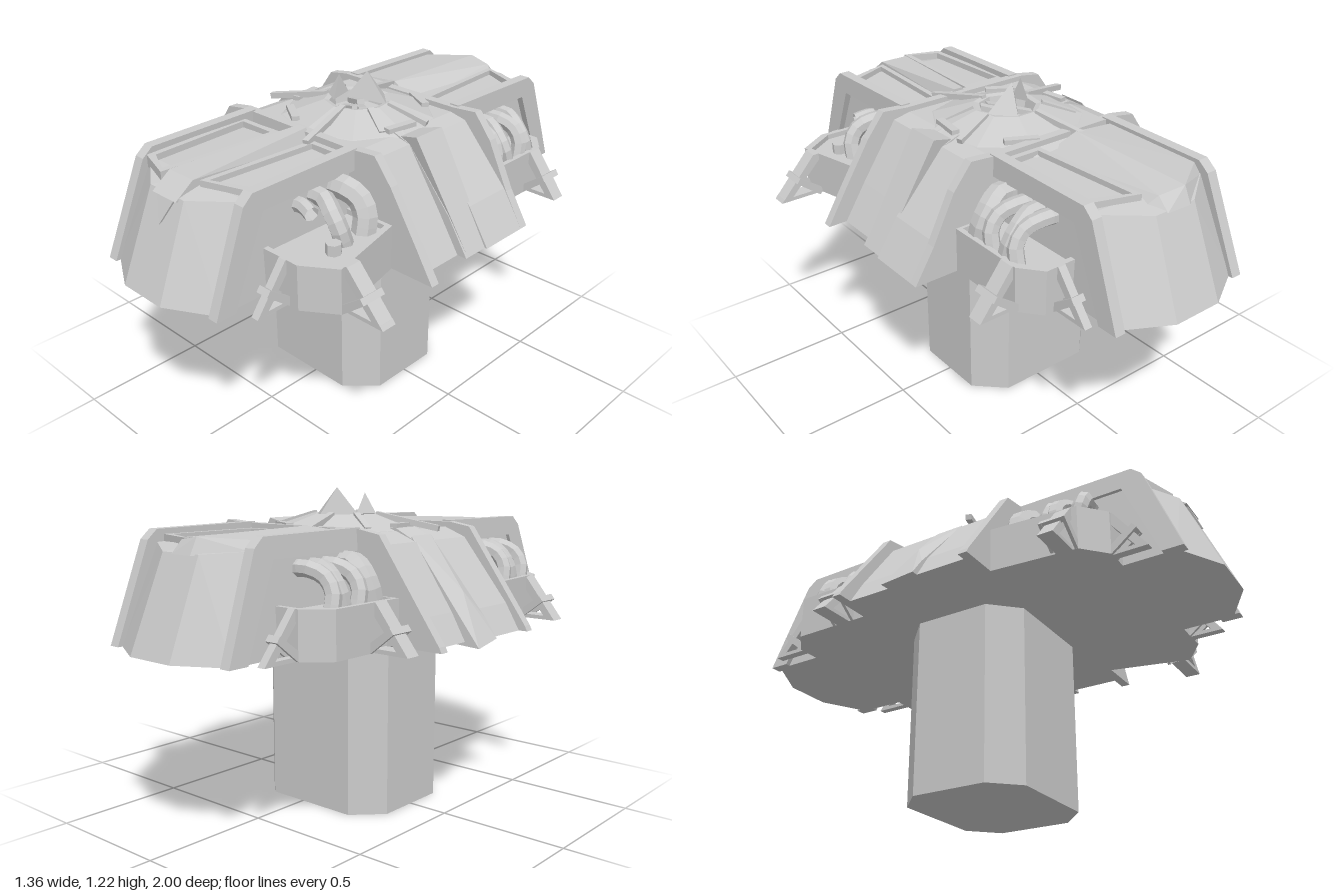
import * as THREE from 'three';
import { ConvexGeometry } from 'three/addons/geometries/ConvexGeometry.js';

const mat = new THREE.MeshStandardMaterial({ color: 0xcccccc, flatShading: true, side: THREE.DoubleSide });
const BASE = 0.69;

function add(parent, name, geo) {
  const mesh = new THREE.Mesh(geo, mat);
  mesh.name = name;
  parent.add(mesh);
}
const outline = (pts) => new THREE.Shape(pts.map(([a, b]) => new THREE.Vector2(a, b)));
const convex = (pts) => new ConvexGeometry(pts.map((p) => new THREE.Vector3(...p)));

// Profile in x/y, extruded from z0 to z1
function slab(pts, z0, z1) {
  return new THREE.ExtrudeGeometry(outline(pts), { depth: z1 - z0, bevelEnabled: false }).translate(0, 0, z0);
}
// Plan outline in x/z, extruded from y0 to y1, with an optional opening
function plate(pts, y0, y1, hole) {
  const flip = (l) => l.map(([x, z]) => [x, -z]);
  const s = outline(flip(pts));
  if (hole) s.holes.push(outline(flip(hole)));
  return new THREE.ExtrudeGeometry(s, { depth: y1 - y0, bevelEnabled: false }).rotateX(-Math.PI / 2).translate(0, y0, 0);
}
// Shrink a plan outline towards its middle
function inset(pts, d) {
  const n = pts.length;
  const cx = pts.reduce((s, p) => s + p[0], 0) / n, cz = pts.reduce((s, p) => s + p[1], 0) / n;
  const pull = (v, c) => v - Math.sign(v - c) * Math.min(d, Math.abs(v - c));
  return pts.map(([x, z]) => [pull(x, cx), pull(z, cz)]);
}
// Beam between two points
function beam(a, b, w, h) {
  const A = new THREE.Vector3(...a), B = new THREE.Vector3(...b);
  const m = new THREE.Matrix4().lookAt(B, A, new THREE.Vector3(0, 1, 0));
  m.setPosition(A.clone().add(B).multiplyScalar(0.5));
  return new THREE.BoxGeometry(w, h, A.distanceTo(B)).applyMatrix4(m);
}

// Chamfered support column
function addColumn(g) {
  add(g, 'column', plate([[-0.34, -0.15], [-0.235, -0.255], [0.155, -0.255], [0.265, -0.15],
    [0.265, 0.15], [0.155, 0.255], [-0.235, 0.255], [-0.34, 0.15]], 0, BASE + 0.02));
}

// Long hull with sloped, chamfered ends, edge frames and roof panels
function addLongHull(g) {
  const pts = [];
  for (const s of [-1, 1]) {
    pts.push([-0.14, BASE, s], [0.06, BASE, s], [-0.32, BASE, s * 0.9], [0.245, BASE, s * 0.9],
      [-0.13, 1.025, s * 0.86], [0.05, 1.025, s * 0.86], [-0.3, 1.04, s * 0.74], [0.235, 1.04, s * 0.74],
      [-0.04, 1.05, s * 0.76]);
  }
  add(g, 'longHull', convex(pts));

  const arch = [[0.28, 1.09], [0.75, 1.085], [0.79, 1.05], [0.93, BASE], [0.85, BASE], [0.71, 1.01], [0.28, 1.01]];
  for (const end of [-1, 1]) {
    for (const [x, lean] of [[-0.34, 0.03], [0.225, -0.005]]) {
      const geo = slab(arch.map(([z, y]) => [z * end, y]), -0.042, 0).rotateY(-Math.PI / 2);
      const p = geo.attributes.position;
      for (let i = 0; i < p.count; i++) p.setX(i, p.getX(i) + x + lean * (p.getY(i) - BASE) / 0.4);
      add(g, 'edgeFrame', geo);
    }
    // Raised borders around recessed roof panels
    const panels = [[[0.06, end * 0.3], [0.22, end * 0.3], [0.22, end * 0.72], [0.035, end * 0.78]]];
    if (end > 0) panels.push([[-0.28, 0.33], [-0.085, 0.33], [-0.11, 0.83], [-0.26, 0.78]]);
    for (const panel of panels) add(g, 'roofPanelFrame', plate(panel, 1.02, 1.066, inset(panel, 0.022)));
  }
  // Front spine with blunt nose and pointed plate below it
  add(g, 'spine', convex([[-0.06, 1.04, 0.28], [0.03, 1.04, 0.28], [-0.03, 1.095, 0.28], [0.01, 1.095, 0.28],
    [-0.1, 1.015, 0.875], [0.025, 1.015, 0.875], [-0.1, 1.07, 0.8], [0.025, 1.07, 0.8], [-0.1, 1.0, 0.8], [0.025, 1.0, 0.8]]));
  add(g, 'nosePlate', convex([[-0.08, 1.015, 0.872], [0.01, 1.015, 0.872], [-0.035, 0.925, 0.908],
    [-0.08, 1.0, 0.83], [0.01, 1.0, 0.83]]));
  // Rear roof slab
  add(g, 'rearRoof', convex([[-0.3, 1.03, -0.3], [0.03, 1.03, -0.3], [-0.29, 1.03, -0.75], [-0.1, 1.02, -0.87],
    [0.0, 1.02, -0.865], [0.04, 1.03, -0.8], [-0.27, 1.075, -0.32], [-0.1, 1.09, -0.32], [-0.27, 1.07, -0.73],
    [-0.1, 1.08, -0.84], [0.0, 1.065, -0.82]]));
}

// Wide cross hull: overlapping faceted strips between bulkhead ribs
function addCrossHull(g) {
  const strip = (l, r, top) => [[-l, BASE], [-l + 0.06, 0.79], [-0.39, 1.03], [-0.3, top], [0.24, top],
    [0.31, 1.05], [r - 0.09, 0.83], [r, BASE]];
  const strips = [[0.62, 0.6, -0.27, -0.05, 1.065], [0.6, 0.59, -0.06, 0.06, 1.075], [0.645, 0.55, 0.05, 0.27, 1.065]];
  for (const [l, r, z0, z1, top] of strips) add(g, 'crossHullStrip', slab(strip(l, r, top), z0, z1));
  for (const [z, r] of [[-0.28, 0.6], [0.275, 0.625]]) {
    add(g, 'bulkheadRib', slab([[-0.68, BASE], [-0.67, 0.71], [-0.41, 1.07], [-0.32, 1.085], [0.25, 1.085], [0.355, 1.093],
      [0.43, 1.0], [r - 0.08, 0.82], [r, BASE]], z - 0.018, z + 0.018));
  }
  // Shoulder ridge on the left flank
  add(g, 'leftShoulder', convex([[0.24, 1.06, -0.05], [0.24, 1.06, 0.05], [0.35, 1.09, -0.07], [0.35, 1.09, 0.07],
    [0.42, 0.97, -0.06], [0.42, 0.97, 0.06], [0.59, BASE, -0.06], [0.59, BASE, 0.05], [0.3, BASE, 0]]));
  // Bent skirt plate on the right flank
  add(g, 'bentSkirt', convex([[-0.37, 1.05, -0.06], [-0.37, 1.05, 0.06], [-0.68, 0.672, -0.07], [-0.67, 0.69, 0.06],
    [-0.45, 0.685, -0.07], [-0.45, 0.69, 0.06], [-0.56, 0.86, 0.0], [-0.62, 0.76, 0.06]]));
}

// Burst-open dome with radial bars and torn spikes
function addDome(g) {
  const dome = new THREE.Group();
  dome.name = 'dome';
  dome.position.set(-0.02, 0, -0.02);
  g.add(dome);
  const profile = [[0.36, 1.03], [0.29, 1.067], [0.13, 1.12], [0.11, 1.115], [0.1, 1.07], [0.001, 1.065]];
  add(dome, 'domeShell', new THREE.LatheGeometry(profile.map((p) => new THREE.Vector2(...p)), 9));
  const bars = [[-1.87, 0.13, 0.36], [-0.27, 0.13, 0.29], [1.33, 0.11, 0.37], [2.83, 0.13, 0.38], [-2.6, 0.13, 0.26], [0.45, 0.13, 0.25]];
  for (const [a, r0, r1] of bars) {
    const at = (r, y) => [Math.cos(a) * r, y, Math.sin(a) * r];
    add(dome, 'radialBar', beam(at(r0, 1.118), at(r1, 1.07), 0.024, 0.022));
  }
  // Loose cover strips lying across the slope
  for (const a of [-1.1, 0.15, 2.15, 3.0]) {
    const at = (t) => [Math.cos(t) * 0.26, 1.082, Math.sin(t) * 0.26];
    add(dome, 'coverStrip', beam(at(a - 0.25), at(a + 0.25), 0.03, 0.018));
  }
  add(dome, 'largeSpike', convex([[0.01, 1.22, -0.04], [-0.05, 1.12, 0.01], [0.12, 1.115, -0.03], [0.04, 1.1, -0.12]]));
  add(dome, 'smallSpike', convex([[-0.08, 1.2, 0.02], [-0.12, 1.12, 0.04], [-0.07, 1.11, 0.06], [-0.08, 1.12, -0.03]]));
  for (const [x, z, t] of [[-0.03, -0.02, 0.5], [0.03, 0.02, 0.8], [0, 0.05, 0.3]]) {
    add(dome, 'debris', beam([x - 0.05, 1.08, z - 0.05 * t], [x + 0.05, 1.11, z + 0.05 * t], 0.03, 0.02));
  }
}

// Triangular brace gripped by a tilted clamp; it points along +x before turning
function addBrace(g, x, z, turn, reach, width) {
  const brace = new THREE.Group();
  brace.name = 'brace';
  brace.position.set(x, 0, z);
  brace.rotation.y = turn;
  g.add(brace);
  const arm = width * 0.3;
  add(brace, 'braceArm', slab([[-0.02, 0.835], [-0.02, 0.86], [0.004, 0.86], [reach, BASE], [reach - 0.035, BASE]], -arm, arm));
  add(brace, 'braceFoot', slab([[-0.01, BASE], [reach, BASE], [reach - 0.012, 0.705], [-0.01, 0.705]], -arm, arm));
  for (const s of [-1, 1]) {
    const c = s * (width / 2 - 0.006);
    add(brace, 'clampSide', slab([[-0.01, 0.7], [0, BASE], [0.095, 0.765], [0.08, 0.785], [-0.01, 0.72]], c - 0.006, c + 0.006));
  }
  add(brace, 'clampBar', slab([[0.078, 0.755], [0.095, 0.765], [0.08, 0.785], [0.063, 0.773]], -width / 2, width / 2));
}

// Corner pod with rim and arching hoses, each given as [z, radius]
function addPod(g, { side, end, wall, near, far, tip, hoses, broken }) {
  const pod = new THREE.Group();
  pod.name = (end > 0 ? 'front' : 'rear') + (side > 0 ? 'Left' : 'Right') + 'Pod';
  g.add(pod);
  const inner = wall - side * 0.05;
  const pts = [[inner, end * 0.29], [near, end * 0.29], [far, end * 0.62], [tip, end * 0.7], [inner, end * 0.7]];
  add(pod, 'podBody', plate(pts, BASE, 0.84));
  add(pod, 'podRim', plate(pts, 0.84, 0.86, inset(pts, 0.02)));
  const tube = (path, z, r) => {
    const curve = new THREE.CatmullRomCurve3(path.map(([x, y, dz]) => new THREE.Vector3(wall + side * x, y, end * z + dz)));
    add(pod, 'hose', new THREE.TubeGeometry(curve, 8, r, 7));
  };
  hoses.forEach(([z, r], i) => {
    const bend = i % 2 ? 0.02 : -0.015, out = 0.15 - r;
    tube([[-0.04, 0.97, 0], [0.02, 0.975, 0], [out * 0.65, 0.95, bend], [out * 0.95, 0.9, bend], [out, 0.83, 0]], z, r);
  });
  if (broken) {
    tube([[-0.04, 0.96, 0], [0, 0.965, 0], [0.05, 0.955, 0.01]], broken, 0.028);
    add(pod, 'brokenHoseEnd', new THREE.CylinderGeometry(0.028, 0.028, 0.05, 7).translate(wall + side * 0.14, 0.855, end * broken));
  }
}

export function createModel() {
  const g = new THREE.Group();
  g.name = 'turretHead';
  addColumn(g);
  addLongHull(g);
  addCrossHull(g);
  addDome(g);

  const hoses = [[0.36, 0.043], [0.455, 0.03], [0.52, 0.03], [0.585, 0.03]];
  addPod(g, { side: 1, end: 1, wall: 0.265, near: 0.44, far: 0.52, tip: 0.4, hoses: [[0.36, 0.045], [0.465, 0.034]], broken: 0.54 });
  addPod(g, { side: -1, end: 1, wall: -0.325, near: -0.53, far: -0.5, tip: -0.41, hoses });
  addPod(g, { side: 1, end: -1, wall: 0.265, near: 0.425, far: 0.425, tip: 0.36, hoses });
  addPod(g, { side: -1, end: -1, wall: -0.325, near: -0.5, far: -0.5, tip: -0.41, hoses });

  // Wide braces face sideways, narrow ones face the ends
  addBrace(g, 0.52, 0.57, 0, 0.16, 0.1);
  addBrace(g, -0.5, 0.57, Math.PI, 0.14, 0.1);
  addBrace(g, 0.425, -0.58, 0, 0.135, 0.1);
  addBrace(g, -0.5, -0.4, Math.PI, 0.14, 0.1);
  addBrace(g, 0.335, 0.7, -Math.PI / 2, 0.13, 0.052);
  addBrace(g, -0.385, 0.7, -Math.PI / 2, 0.13, 0.052);
  addBrace(g, 0.3, -0.7, Math.PI / 2, 0.14, 0.052);
  addBrace(g, -0.385, -0.7, Math.PI / 2, 0.14, 0.052);
  return g;
}
